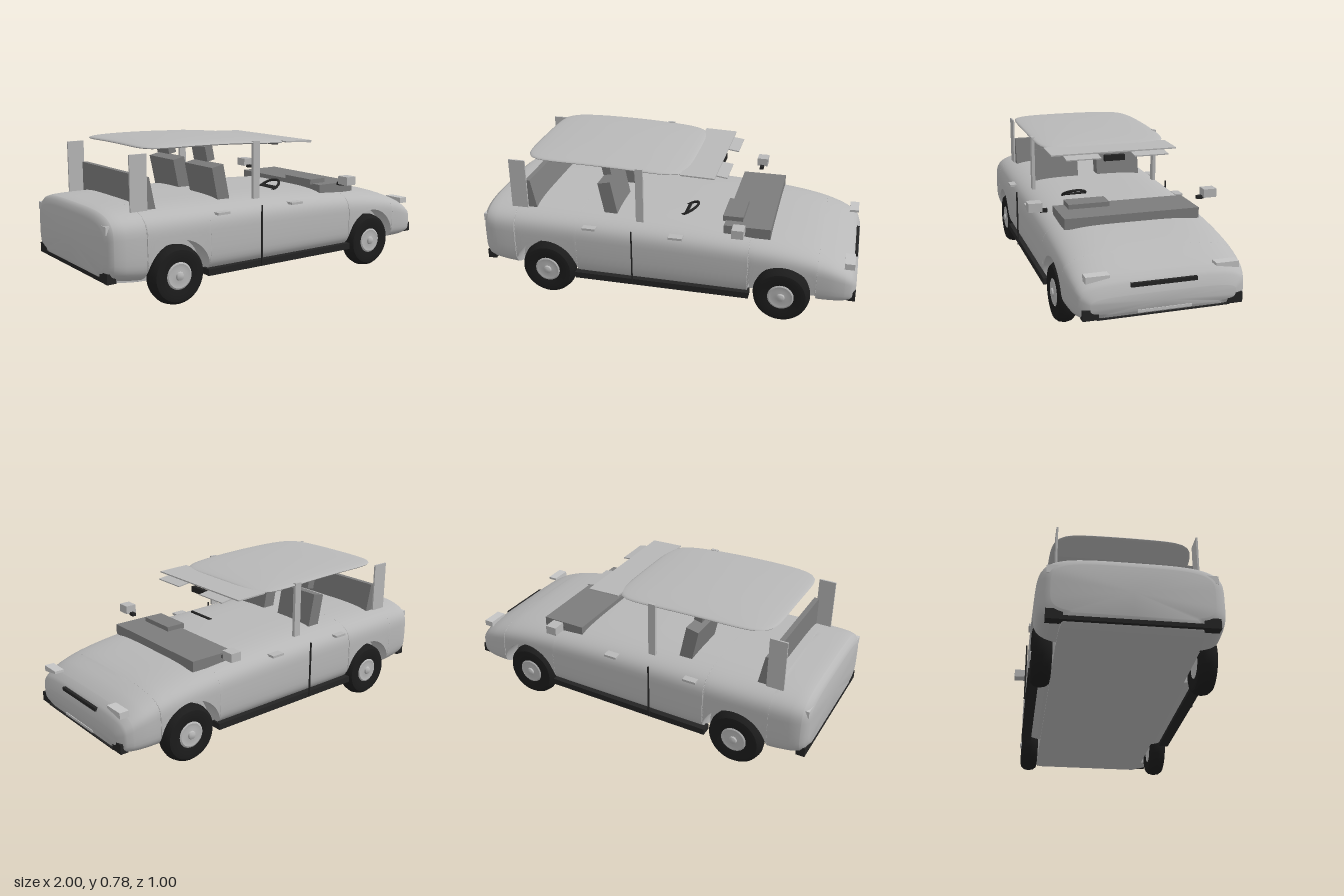
import * as THREE from 'three';
import { toCreasedNormals } from 'three/addons/utils/BufferGeometryUtils.js';

const mat = (name, color, side = THREE.FrontSide) => {
  const m = new THREE.MeshStandardMaterial({ color, side });
  m.name = name;
  return m;
};

// Creased normals worked out at a larger scale, so that close vertices stay distinct
const crease = (g, angle) => toCreasedNormals(g.scale(100, 100, 100), angle).scale(0.01, 0.01, 0.01);

// Body outline keys: x, top height, bottom height, half width
const KEYS = [
  [-1, 0.44, 0.19, 0.37], [-0.992, 0.465, 0.165, 0.395], [-0.97, 0.48, 0.15, 0.417],
  [-0.92, 0.485, 0.138, 0.43], [-0.8, 0.487, 0.125, 0.435], [-0.4, 0.483, 0.12, 0.44],
  [0, 0.475, 0.12, 0.44], [0.3, 0.462, 0.12, 0.44], [0.55, 0.442, 0.12, 0.438],
  [0.75, 0.409, 0.12, 0.433], [0.87, 0.371, 0.121, 0.426], [0.94, 0.335, 0.126, 0.412],
  [0.98, 0.297, 0.14, 0.39], [0.996, 0.25, 0.17, 0.35],
];
const AXLES = [-0.635, 0.625], AXLE_Y = 0.15, ARCH_R = 0.175;

// Smooth interpolation of the outline keys
function outline(x, k) {
  const last = KEYS.length - 1;
  const slope = (i) => {
    const a = KEYS[Math.max(i - 1, 0)], b = KEYS[Math.min(i + 1, last)];
    return (b[k] - a[k]) / (b[0] - a[0]);
  };
  let i = 0;
  while (i < last - 1 && x > KEYS[i + 1][0]) i++;
  const p = KEYS[i], q = KEYS[i + 1], h = q[0] - p[0], t = (x - p[0]) / h;
  const t2 = t * t, t3 = t2 * t;
  return (2 * t3 - 3 * t2 + 1) * p[k] + (t3 - 2 * t2 + t) * h * slope(i)
    + (3 * t2 - 2 * t3) * q[k] + (t3 - t2) * h * slope(i + 1);
}

// Half cross-section from top centre, around the side, over the arch, to bottom centre
function section(x) {
  const top = outline(x, 1), bot = outline(x, 2), w = outline(x, 3);
  const mid = (top + bot) / 2, nTop = 4, nLow = 5, N = 28;
  let edge = bot + (mid - bot) * 0.055, inArch = false;
  for (const a of AXLES) {
    const d = Math.abs(x - a);
    if (d < ARCH_R) {
      inArch = true;
      edge = Math.max(edge, AXLE_Y + Math.sqrt(ARCH_R ** 2 - d ** 2));
    }
  }
  const end = edge >= mid
    ? Math.acos(((edge - mid) / (top - mid)) ** (nTop / 2))
    : Math.PI / 2 + Math.asin(((mid - edge) / (mid - bot)) ** (nLow / 2));
  const pts = [];
  for (let i = 0; i <= N; i++) {
    const t = (end * i) / N, c = Math.cos(t), n = c >= 0 ? nTop : nLow;
    const y = c >= 0 ? mid + (top - mid) * c ** (2 / n) : mid - (mid - bot) * (-c) ** (2 / n);
    pts.push([y, w * Math.abs(Math.sin(t)) ** (2 / n)]);
  }
  const inner = inArch ? 0.33 : Math.min(0.33, pts[N][1]);
  pts.push([edge, inner], [bot, inner], [bot, 0]);
  return pts;
}

function bodyGeometry() {
  const xs = [];
  for (let i = 0; i <= 70; i++) xs.push(-1 + (1.996 * i) / 70);
  for (const k of KEYS) xs.push(k[0] + 0.0007 * (k[0] < 0 ? 1 : -1));
  for (const a of AXLES) {
    for (let i = 0; i <= 32; i++) xs.push(a - (ARCH_R - 0.0001) * Math.cos((Math.PI * i) / 32));
    xs.push(a - ARCH_R - 0.0001, a + ARCH_R + 0.0001);
  }
  xs.sort((a, b) => a - b);
  const pos = [], idx = [];
  let L = 0;
  for (const x of xs) {
    const half = section(x);
    const loop = [...half, ...half.slice(1, -1).reverse().map(([y, z]) => [y, -z])];
    L = loop.length;
    for (const [y, z] of loop) pos.push(x, y, z);
  }
  for (let i = 0; i < xs.length - 1; i++) for (let j = 0; j < L; j++) {
    const a = i * L + j, b = i * L + ((j + 1) % L);
    idx.push(a, b, a + L, b, b + L, a + L);
  }
  // End caps
  const base = (xs.length - 1) * L, c = xs.length * L;
  pos.push(-1, 0.31, 0, 0.998, 0.21, 0);
  for (let j = 0; j < L; j++) {
    const k = (j + 1) % L;
    idx.push(c, k, j, c + 1, base + j, base + k);
  }
  const g = new THREE.BufferGeometry();
  g.setAttribute('position', new THREE.Float32BufferAttribute(pos, 3));
  g.setIndex(idx);
  return crease(g, 0.7);
}

// Thin cushion with a rounded rectangular plan, bowed lengthways
function roofGeometry() {
  const g = new THREE.SphereGeometry(1, 80, 24), p = g.attributes.position;
  for (let i = 0; i < p.count; i++) {
    const X = p.getX(i), Y = p.getY(i), Z = p.getZ(i);
    const a = Math.atan2(Z, X), cx = Math.cos(a), cz = Math.sin(a);
    const s = Math.hypot(X, Z) ** 0.8 / (Math.abs(cx) ** 7 + Math.abs(cz) ** 7) ** (1 / 7);
    const u = cx * s, v = cz * s;
    const y = 0.76 - 0.012 * u - 0.013 * u * u - 0.007 * v * v + 0.016 * Math.sign(Y) * Math.abs(Y) ** 0.7;
    p.setXYZ(i, -0.325 + 0.435 * u, y, v * (0.363 - 0.008 * u * u));
  }
  return crease(g, 0.9);
}

export function createModel() {
  const car = new THREE.Group();
  car.name = 'car';
  const paint = mat('paint grey', 0xb8b8b8);
  const seat = mat('seat grey', 0x7c7c7c);
  const black = mat('trim black', 0x242424);
  const rubber = mat('tyre black', 0x1c1c1c);
  const lamp = mat('lamp grey', 0xc4c4c4);

  const add = (name, geo, m, parent = car) => {
    const mesh = new THREE.Mesh(geo, m);
    mesh.name = name;
    parent.add(mesh);
    return mesh;
  };
  // Box given by its limits on each axis
  const box = (name, m, [x0, x1], [y0, y1], [z0, z1], tilt = 0) => {
    const b = add(name, new THREE.BoxGeometry(x1 - x0, y1 - y0, z1 - z0), m);
    b.position.set((x0 + x1) / 2, (y0 + y1) / 2, (z0 + z1) / 2);
    b.rotation.z = tilt;
  };
  const pair = (name, m, x, y, [z0, z1], tilt = 0) => {
    box(name + 'Right', m, x, y, [z0, z1], tilt);
    box(name + 'Left', m, x, y, [-z1, -z0], tilt);
  };
  const shape = (pts) => new THREE.Shape(pts.map(([x, y]) => new THREE.Vector2(x, y)));
  const extrude = (pts, depth) => new THREE.ExtrudeGeometry(shape(pts), { depth, bevelEnabled: false });

  add('body', bodyGeometry(), paint);
  add('roof', roofGeometry(), paint);
  box('windscreenHeader', paint, [0.08, 0.255], [0.729, 0.736], [-0.34, 0.34], -0.03);
  pair('sunVisor', paint, [0.19, 0.31], [0.718, 0.724], [0.09, 0.275], -0.14);
  box('cabinMirror', black, [0.23, 0.252], [0.683, 0.713], [-0.055, 0.055]);

  // Pillars
  pair('middlePillar', paint, [-0.15, -0.11], [0.46, 0.755], [0.347, 0.364]);
  pair('rearPillar', paint, [-0.845, -0.755], [0.46, 0.735], [0.335, 0.344]);

  // Seats
  pair('frontSeatBack', seat, [-0.352, -0.282], [0.46, 0.64], [0.058, 0.313], 0.2);
  pair('headrest', seat, [-0.362, -0.318], [0.658, 0.736], [0.124, 0.25], 0.2);
  add('rearSeatBack', extrude([[-0.765, 0.46], [-0.705, 0.46], [-0.738, 0.622], [-0.765, 0.622]], 0.67), seat)
    .position.z = -0.335;

  // Dashboard and steering wheel
  box('dashboard', seat, [0.31, 0.55], [0.43, 0.485], [-0.35, 0.35]);
  box('instrumentPod', seat, [0.295, 0.4], [0.48, 0.509], [0.075, 0.29]);
  const steering = new THREE.Group();
  steering.name = 'steeringWheel';
  steering.position.set(0.09, 0.477, 0.18);
  steering.rotation.z = 0.52;
  car.add(steering);
  add('steeringRim', new THREE.TorusGeometry(0.062, 0.007, 8, 32), black, steering).rotation.x = Math.PI / 2;
  add('steeringSpoke', new THREE.BoxGeometry(0.02, 0.008, 0.12), black, steering);

  // Door furniture, sills and side mirrors
  pair('mirrorArm', black, [0.39, 0.412], [0.485, 0.502], [0.4, 0.437]);
  pair('sideMirror', paint, [0.372, 0.432], [0.495, 0.54], [0.43, 0.5]);
  pair('rearDoorHandle', paint, [-0.422, -0.35], [0.419, 0.431], [0.4, 0.445]);
  pair('frontDoorHandle', paint, [0.04, 0.112], [0.419, 0.431], [0.4, 0.445]);
  pair('doorGap', black, [-0.158, -0.152], [0.13, 0.44], [0.441, 0.449]);
  pair('sill', black, [-0.475, 0.46], [0.124, 0.157], [0.385, 0.44]);

  // Nose and tail details
  pair('frontBumperCorner', black, [0.955, 0.996], [0.15, 0.2], [0.312, 0.386]);
  box('frontBumperStrip', black, [0.95, 0.996], [0.147, 0.153], [-0.32, 0.32]);
  box('grille', black, [0.95, 0.992], [0.284, 0.302], [-0.16, 0.16]);
  box('numberPlate', lamp, [0.985, 1], [0.163, 0.176], [-0.13, 0.13]);
  pair('rearBumperCorner', black, [-0.996, -0.95], [0.155, 0.205], [0.312, 0.39]);
  box('rearBumperStrip', black, [-0.996, -0.95], [0.155, 0.175], [-0.32, 0.32]);
  pair('tailLamp', lamp, [-0.996, -0.975], [0.385, 0.425], [0.33, 0.39]);
  for (const s of [1, -1]) {
    const corners = [[0.255, 0.337], [0.368, 0.318], [0.368, 0.35], [0.255, 0.35]];
    const head = add(s > 0 ? 'headlampRight' : 'headlampLeft',
      extrude(corners.map(([z, y]) => [-s * z, y]), 0.05), lamp);
    head.rotation.y = Math.PI / 2;
    head.position.x = 0.93;
  }

  // Wheels: turned profiles, radius and distance along the axle
  const turn = (pts) => crease(new THREE.LatheGeometry(
    pts.map(([r, y]) => new THREE.Vector2(r, y)), 48), 0.6);
  const tyre = turn([[0.068, -0.04], [0.105, -0.048], [0.128, -0.044], [0.142, -0.028], [0.148, 0],
    [0.142, 0.028], [0.128, 0.044], [0.105, 0.048], [0.068, 0.04]]);
  const hub = turn([[0, -0.036], [0.07, -0.036], [0.07, 0.038], [0.06, 0.044], [0.045, 0.041],
    [0.022, 0.044], [0.019, 0.052], [0.01, 0.056], [0, 0.057]]);
  for (const x of AXLES) for (const s of [1, -1]) {
    const wheel = new THREE.Group();
    wheel.name = (x > 0 ? 'front' : 'rear') + 'Wheel' + (s > 0 ? 'Right' : 'Left');
    wheel.position.set(x, 0.148, s * 0.387);
    wheel.rotation.x = (s * Math.PI) / 2;
    add('tyre', tyre, rubber, wheel);
    add('hub', hub, paint, wheel);
    car.add(wheel);
  }
  return car;
}
